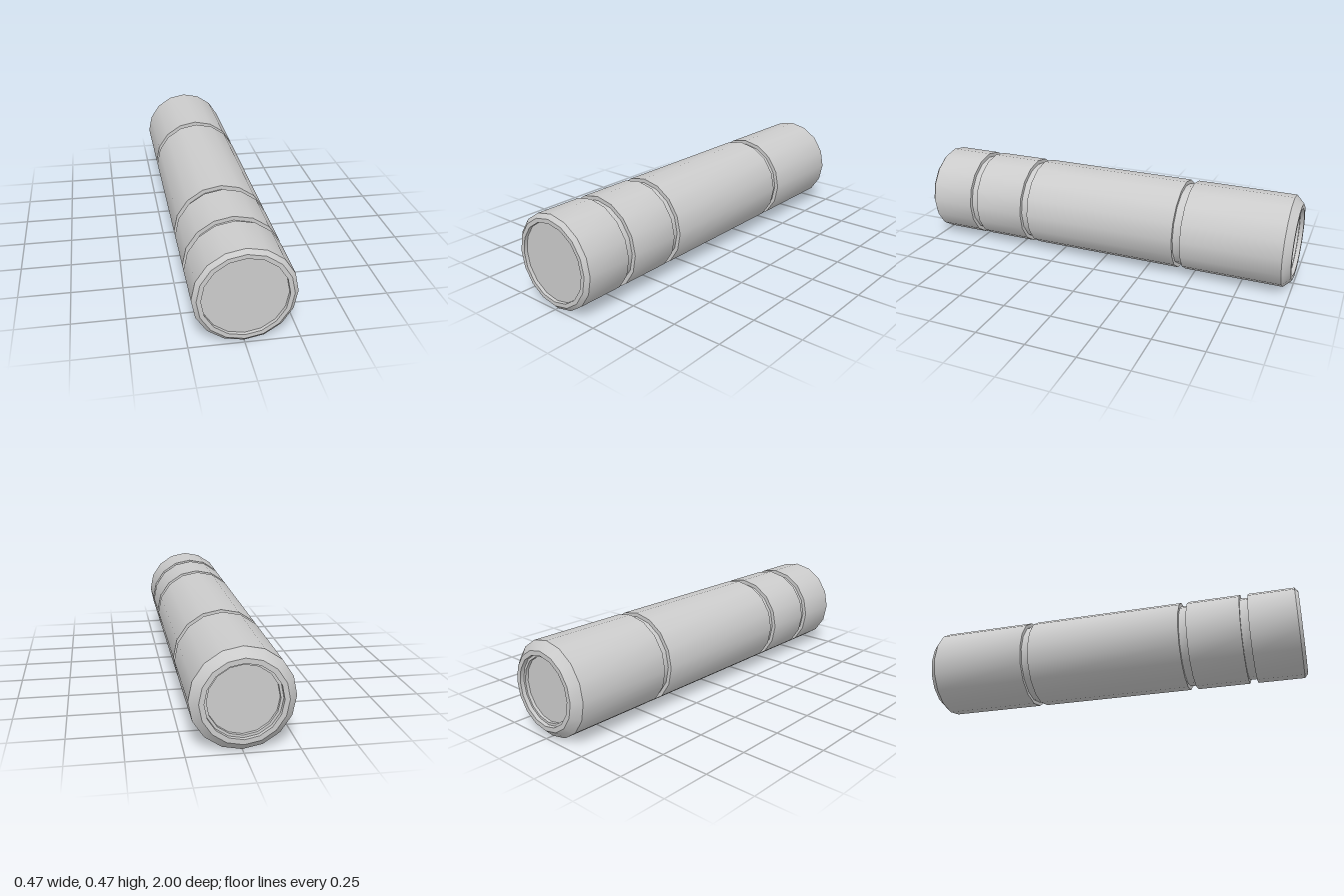
import * as THREE from 'three';
import { toCreasedNormals } from 'three/addons/utils/BufferGeometryUtils.js';

const SIDES = 16;
const RADIUS = 0.2325;
const GROOVE_RADIUS = 0.213;
// Start and end of each groove along the length, back to front
const GROOVES = [[-0.457, -0.415], [0.397, 0.438], [0.708, 0.749]];

export function createModel() {
  const group = new THREE.Group();
  group.name = 'cylindricalTube';
  const material = new THREE.MeshStandardMaterial({ color: 0xcccccc });

  // Turned part lying along z, from [radius, z] pairs running back to front
  function turned(name, profile) {
    const points = profile.map(([r, z]) => new THREE.Vector2(r, z));
    const lathe = new THREE.LatheGeometry(points, SIDES).rotateX(Math.PI / 2);
    const mesh = new THREE.Mesh(toCreasedNormals(lathe, 0.5), material);
    mesh.name = name;
    mesh.position.y = 0.234;
    group.add(mesh);
  }

  // Back end: stepped recess, flat rim and wide chamfer
  turned('backCap', [
    [0, -0.965], [0.158, -0.965], [0.158, -0.98], [0.17, -0.98],
    [0.17, -1], [0.193, -1], [RADIUS, -0.961],
  ]);

  // Body with three square grooves
  const body = [[RADIUS, -0.961]];
  for (const [start, end] of GROOVES) {
    body.push([RADIUS, start], [GROOVE_RADIUS, start], [GROOVE_RADIUS, end], [RADIUS, end]);
  }
  body.push([RADIUS, 0.983]);
  turned('groovedBody', body);

  // Front end: small chamfer, flat rim and shallow recess
  turned('frontCap', [
    [RADIUS, 0.983], [GROOVE_RADIUS, 1], [0.193, 1], [0.193, 0.983], [0, 0.983],
  ]);

  return group;
}
